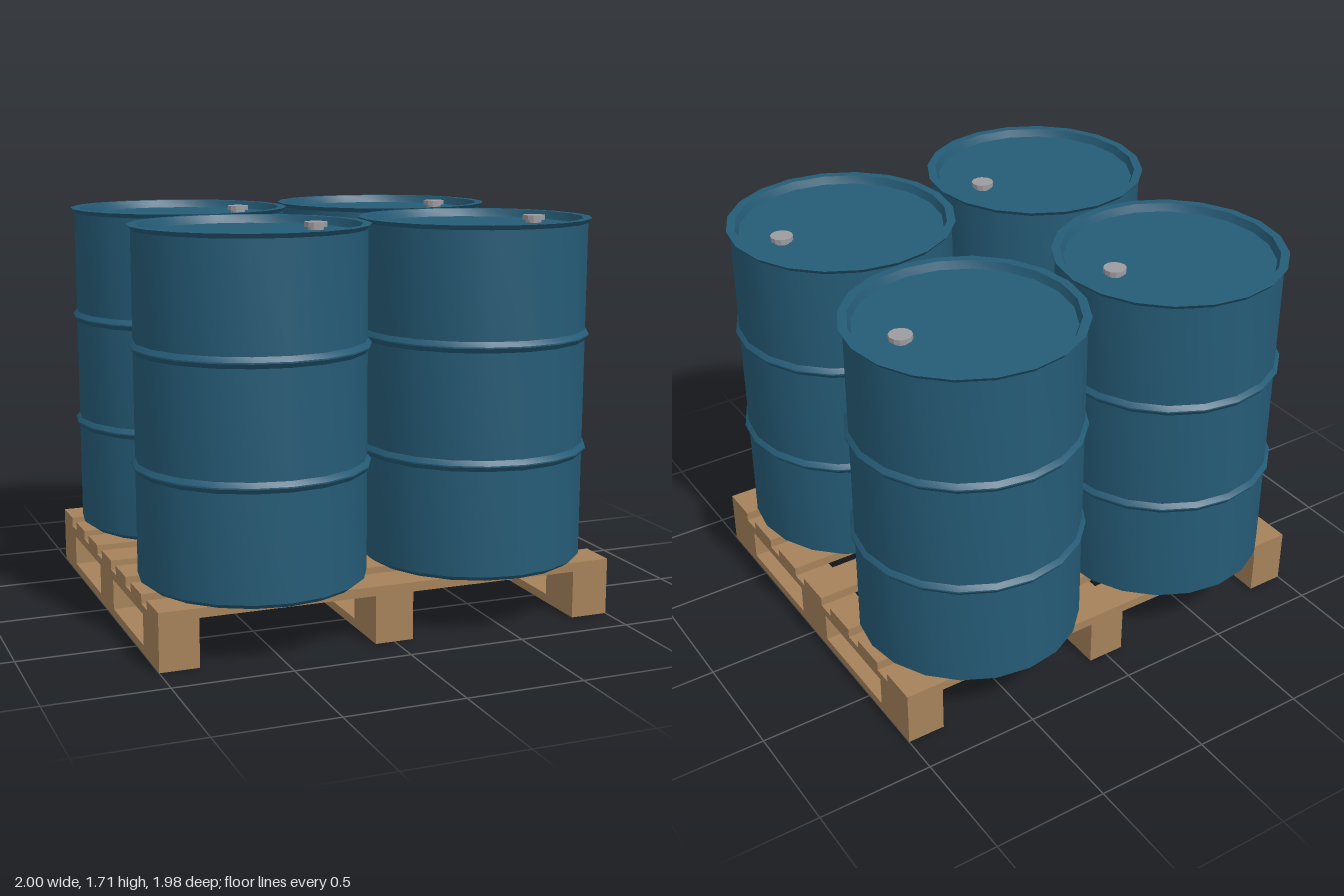
import * as THREE from 'three';
import { toCreasedNormals } from 'three/addons/utils/BufferGeometryUtils.js';

const SIDES = 20;

// Smooth around the axis, sharp where the profile bends
function lathe(profile, sides) {
  const points = profile.map(([r, y]) => new THREE.Vector2(r, y));
  return toCreasedNormals(new THREE.LatheGeometry(points, sides), Math.PI / 7);
}

// Side panel of a skid with two fork openings, extruded to the skid width
function skidGeometry(width) {
  const rect = (path, z0, y0, z1, y1) => {
    path.moveTo(z0, y0);
    path.lineTo(z1, y0);
    path.lineTo(z1, y1);
    path.lineTo(z0, y1);
    path.closePath();
    return path;
  };
  const shape = rect(new THREE.Shape(), -0.833, 0, 0.833, 0.205);
  for (const [a, b] of [[-0.605, -0.115], [0.115, 0.605]]) {
    shape.holes.push(rect(new THREE.Path(), a, 0.037, b, 0.17));
  }
  const geometry = new THREE.ExtrudeGeometry(shape, { depth: width, bevelEnabled: false });
  geometry.translate(0, 0, -width / 2);
  geometry.rotateY(Math.PI / 2);
  return geometry;
}

export function createModel() {
  const paint = new THREE.MeshStandardMaterial({ color: 0x255b76 });
  paint.name = 'blue paint';
  const wood = new THREE.MeshStandardMaterial({ color: 0xa5825a });
  wood.name = 'pallet wood';
  const metal = new THREE.MeshStandardMaterial({ color: 0x9c9ca0 });
  metal.name = 'bung metal';

  const model = new THREE.Group();
  model.name = 'barrelsOnPallet';
  const add = (parent, name, geometry, material, x = 0, y = 0, z = 0) => {
    const mesh = new THREE.Mesh(geometry, material);
    mesh.name = name;
    mesh.position.set(x, y, z);
    parent.add(mesh);
    return mesh;
  };

  // Pallet: three skids carrying seven deck boards
  const pallet = new THREE.Group();
  pallet.name = 'pallet';
  model.add(pallet);
  const skid = skidGeometry(0.166);
  for (const x of [-0.917, 0, 0.917]) add(pallet, 'skid', skid, wood, x);
  const board = new THREE.BoxGeometry(2, 0.04, 0.167);
  for (let i = -3; i <= 3; i++) add(pallet, 'deckBoard', board, wood, 0, 0.225, i * 0.25);

  // Drum: chamfered foot, two rolling hoops, flared rim and sunken lid
  const body = 0.476, rim = 0.492;
  const hoop = (y) => [[body, y - 0.023], [rim, y - 0.003], [rim, y + 0.003], [body, y + 0.023]];
  const drumGeometry = lathe([
    [0, 0.246], [0.447, 0.246], [body, 0.268],
    ...hoop(0.735), ...hoop(1.22),
    [body, 1.687], [rim, 1.706], [0.455, 1.706], [0.442, 1.672], [0, 1.672],
  ], SIDES);

  // Bung: narrow neck under a wider cap
  const bungGeometry = lathe([
    [0.034, 0], [0.034, 0.012], [0.048, 0.012], [0.048, 0.032], [0, 0.032],
  ], 12);

  for (const x of [-0.5, 0.5]) {
    for (const z of [-0.5, 0.5]) {
      const drum = new THREE.Group();
      drum.name = 'drum';
      drum.position.set(x, 0, z);
      add(drum, 'drumShell', drumGeometry, paint);
      add(drum, 'bung', bungGeometry, metal, 0.283, 1.672, 0);
      model.add(drum);
    }
  }
  return model;
}
